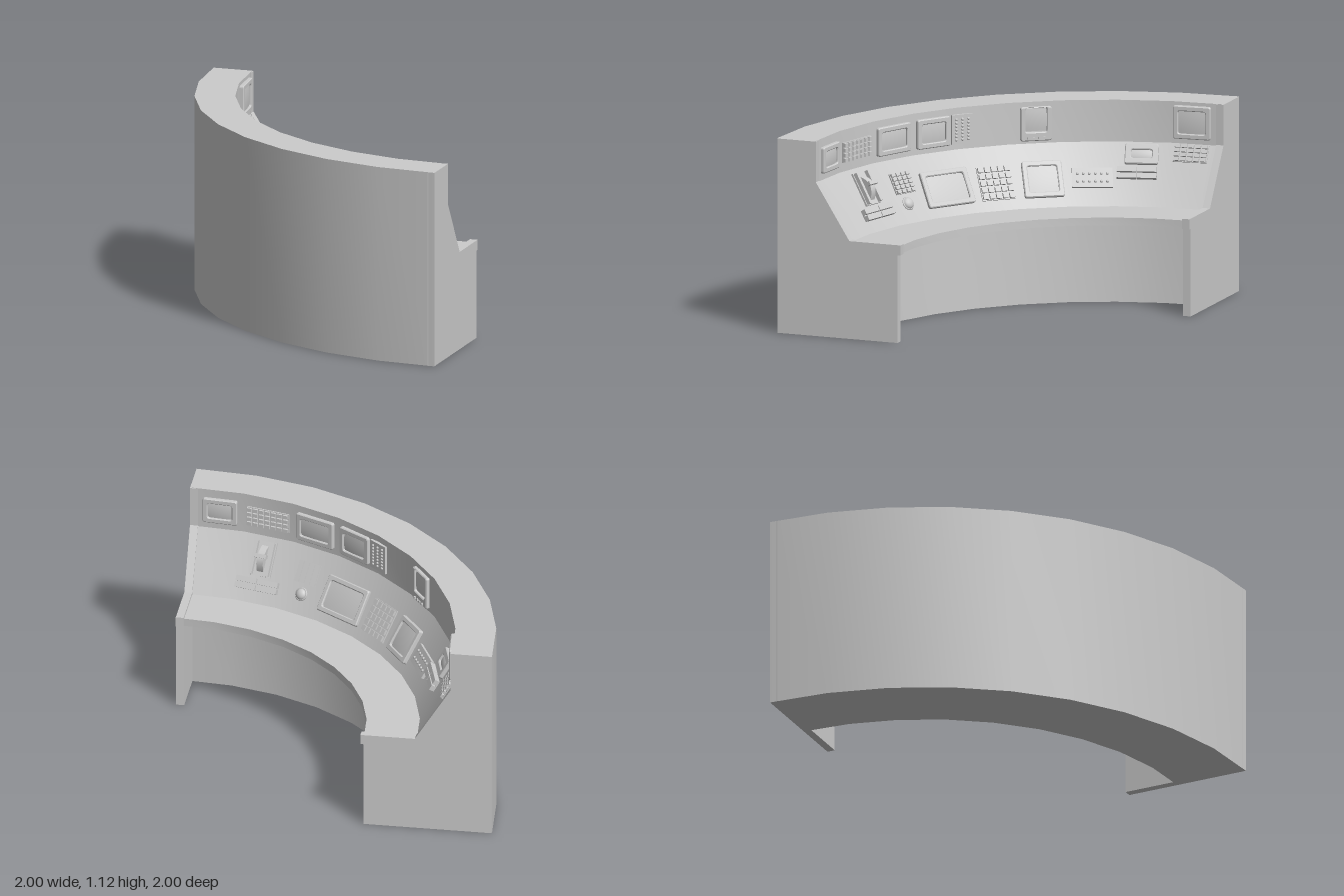
import * as THREE from 'three';
import { mergeGeometries, toCreasedNormals } from 'three/addons/utils/BufferGeometryUtils.js';

const material = new THREE.MeshStandardMaterial({ color: 0xcccccc });
const SEGMENTS = 9, STEP = Math.PI / 2 / SEGMENTS;
const LOW = [1.57, 0.55], HIGH = [1.77, 0.88]; // radius and height of the sloped panel's edges
const TILT = Math.atan2(HIGH[0] - LOW[0], HIGH[1] - LOW[1]);

function mesh(name, geometry, x = 0, y = 0, z = 0) {
  const m = new THREE.Mesh(geometry, material);
  m.name = name;
  m.position.set(x, y, z);
  return m;
}

function group(name, ...children) {
  const g = new THREE.Group();
  g.name = name;
  if (children.length) g.add(...children);
  return g;
}

const box = (w, h, d, x = 0, y = 0, z = 0) => new THREE.BoxGeometry(w, h, d).translate(x, y, z);

function roundedRect(w, h, r, Kind = THREE.Shape) {
  const s = new Kind(), x = w / 2, y = h / 2;
  s.moveTo(-x + r, -y);
  s.lineTo(x - r, -y).quadraticCurveTo(x, -y, x, -y + r);
  s.lineTo(x, y - r).quadraticCurveTo(x, y, x - r, y);
  s.lineTo(-x + r, y).quadraticCurveTo(-x, y, -x, y - r);
  s.lineTo(-x, -y + r).quadraticCurveTo(-x, -y, -x + r, -y);
  return s;
}

// Grid of copies of one small geometry, merged
function grid(cols, rows, w, h, z, make) {
  const parts = [];
  for (let i = 0; i < cols; i++)
    for (let j = 0; j < rows; j++)
      parts.push(make().translate(((i + 0.5) / cols - 0.5) * w, ((j + 0.5) / rows - 0.5) * h, z));
  return mergeGeometries(parts);
}

const dot = (r) => new THREE.SphereGeometry(r, 8, 4, 0, Math.PI * 2, 0, Math.PI / 2).rotateX(Math.PI / 2);

// Bezel with a rounded opening and a gently bulging screen
function screen(w, h, border = 0.03, lift = 0) {
  const iw = w - 2 * border, ih = h - 2 * border;
  const shape = roundedRect(w - 0.01, h - 0.01, 0.008);
  const hole = roundedRect(iw + 0.01, ih + 0.01, 0.018, THREE.Path);
  hole.curves.forEach((c) => ['v0', 'v1', 'v2'].forEach((k) => c[k] && (c[k].y += lift)));
  hole.currentPoint.y += lift;
  shape.holes.push(hole);
  const bezel = new THREE.ExtrudeGeometry(shape, {
    depth: 0.022, bevelThickness: 0.005, bevelSize: 0.005, bevelSegments: 1, curveSegments: 4,
  });
  const glass = new THREE.PlaneGeometry(iw + 0.01, ih + 0.01, 8, 8);
  const p = glass.attributes.position;
  for (let i = 0; i < p.count; i++) {
    const u = (2 * p.getX(i)) / iw, v = (2 * p.getY(i)) / ih;
    p.setZ(i, 0.008 + 0.007 * (1 - (u * u + v * v) / 2));
  }
  glass.computeVertexNormals();
  return group('screen', mesh('screenBezel', bezel, 0, 0, -0.005), mesh('screenGlass', glass, 0, lift, 0));
}

function keypad(cols, rows, w, h) {
  return group('keypad',
    mesh('keypadPlate', box(w, h, 0.016)),
    mesh('keys', grid(cols, rows, w, h, 0.013, () => box((w / cols) * 0.78, (h / rows) * 0.74, 0.016))));
}

function buttonPanel(cols, rows, w, h) {
  return group('buttonPanel',
    mesh('buttonPlate', box(w, h, 0.035)),
    mesh('buttons', grid(cols, rows, w * 0.88, h * 0.8, 0.017, () => dot(0.009))));
}

// Two rows of wide paired switches
function switchBars(w) {
  return group('switchBars',
    mesh('switchBase', box(w * 0.96, 0.062, 0.02)),
    mesh('switches', grid(2, 2, w, 0.075, 0.018, () => box(w * 0.48, 0.03, 0.03))));
}

// Curved quadrant in a raised housing with a cross handle
function throttle() {
  const arc = new THREE.Shape();
  arc.moveTo(-0.085, 0);
  arc.quadraticCurveTo(0, 0.11, 0.085, 0);
  const quadrant = new THREE.ExtrudeGeometry(arc, { depth: 0.04, bevelEnabled: false, curveSegments: 10 })
    .translate(0, 0, -0.02).rotateX(Math.PI / 2).rotateZ(Math.PI / 2).rotateY(Math.PI);
  // Keep the dome pointing away from the panel
  quadrant.computeBoundingBox();
  if (quadrant.boundingBox.max.z < 0.01) quadrant.rotateY(Math.PI);
  return group('throttle',
    mesh('throttleBase', box(0.13, 0.2, 0.024)),
    mesh('throttleRails', mergeGeometries([-1, 1].map((s) => box(0.018, 0.19, 0.03, s * 0.05, 0, 0.02)))),
    mesh('throttleQuadrant', toCreasedNormals(quadrant, 0.5)),
    mesh('throttleHandle', box(0.08, 0.022, 0.03, 0, 0.01, 0.062)));
}

// Radius of a faceted ring at an angle
const facetRadius = (r, a) => (r * Math.cos(STEP / 2)) / Math.cos((a % STEP) - STEP / 2);

// Sets a part on the upright wall or on the slope, at an angle in degrees round the ring
function place(part, degrees, y, onSlope) {
  const a = THREE.MathUtils.degToRad(degrees);
  const t = (y - LOW[1]) / (HIGH[1] - LOW[1]);
  const r = facetRadius(onSlope ? LOW[0] + t * (HIGH[0] - LOW[0]) : HIGH[0], a);
  part.position.set(1 - r * Math.cos(a), y, -1 + r * Math.sin(a));
  part.rotation.set(onSlope ? -TILT : 0, a + Math.PI / 2, 0, 'YXZ');
  return part;
}

export function createModel() {
  const model = group('curvedConsole');

  // Quarter-ring body: outer wall, top, upright panel, slope, desk and knee space
  const profile = [[1.57, 0], [2, 0], [2, 1.12], [1.77, 1.12], HIGH, LOW,
    [1.27, 0.55], [1.27, 0.505], [1.57, 0.505], [1.57, 0]].map(([r, y]) => new THREE.Vector2(r, y));
  const body = new THREE.LatheGeometry(profile, SEGMENTS, -Math.PI / 2, Math.PI / 2);
  body.deleteAttribute('normal');
  model.add(mesh('consoleBody', toCreasedNormals(body, 0.4), 1, 0, -1));

  // End panels with a small lip under the desk edge
  const side = new THREE.Shape([[1.268, 0], [1.997, 0], [1.997, 1.119], [1.763, 1.119], [1.763, 0.885],
    [1.56, 0.563], [1.25, 0.563], [1.25, 0.505], [1.268, 0.505]].map(([r, y]) => new THREE.Vector2(r, y)));
  for (const [angle, shift] of [[0, -0.045], [Math.PI / 2, 0]]) {
    const panel = mesh('endPanel',
      new THREE.ExtrudeGeometry(side, { depth: 0.045, bevelEnabled: false }).translate(0, 0, shift), 1, 0, -1);
    panel.rotation.y = angle + Math.PI;
    model.add(panel);
  }

  // Instruments on the upright wall
  const monitor = screen(0.18, 0.195, 0.028, 0.022);
  monitor.children[1].scale.y = 0.85;
  monitor.add(mesh('monitorButtons', grid(4, 1, 0.12, 0.01, 0.026, () => box(0.012, 0.012, 0.01)), 0, -0.08, 0));
  const wall = [
    [screen(0.22, 0.19, 0.03), 6, 1.005],
    [monitor, 35, 0.995],
    [buttonPanel(3, 7, 0.13, 0.17), 49.5, 0.997],
    [screen(0.22, 0.17), 55.7, 0.997],
    [screen(0.25, 0.165), 65, 0.997],
    [keypad(7, 4, 0.26, 0.115), 75, 0.99],
    [screen(0.2, 0.15), 84.3, 0.995],
  ];
  wall.forEach(([part, degrees, y]) => model.add(place(part, degrees, y, false)));

  // Instruments on the slope
  const knob = mesh('trackball', new THREE.SphereGeometry(0.033, 16, 10));
  knob.scale.z = 0.7;
  const slope = [
    [keypad(5, 4, 0.2, 0.105), 6, 0.83],
    [screen(0.19, 0.12, 0.035), 15.3, 0.815],
    [switchBars(0.23), 16, 0.717],
    [buttonPanel(6, 2, 0.23, 0.115), 24.7, 0.693],
    [screen(0.23, 0.215), 34.5, 0.693],
    [keypad(5, 5, 0.2, 0.2), 44.2, 0.69],
    [screen(0.31, 0.215), 55, 0.693],
    [keypad(4, 5, 0.145, 0.125), 65, 0.755],
    [group('trackballMount', knob, mesh('trackballRing', new THREE.TorusGeometry(0.034, 0.006, 6, 20))), 65.3, 0.65],
    [throttle(), 75, 0.77],
    [switchBars(0.26), 75, 0.64],
  ];
  slope.forEach(([part, degrees, y]) => model.add(place(part, degrees, y, true)));

  return model;
}
